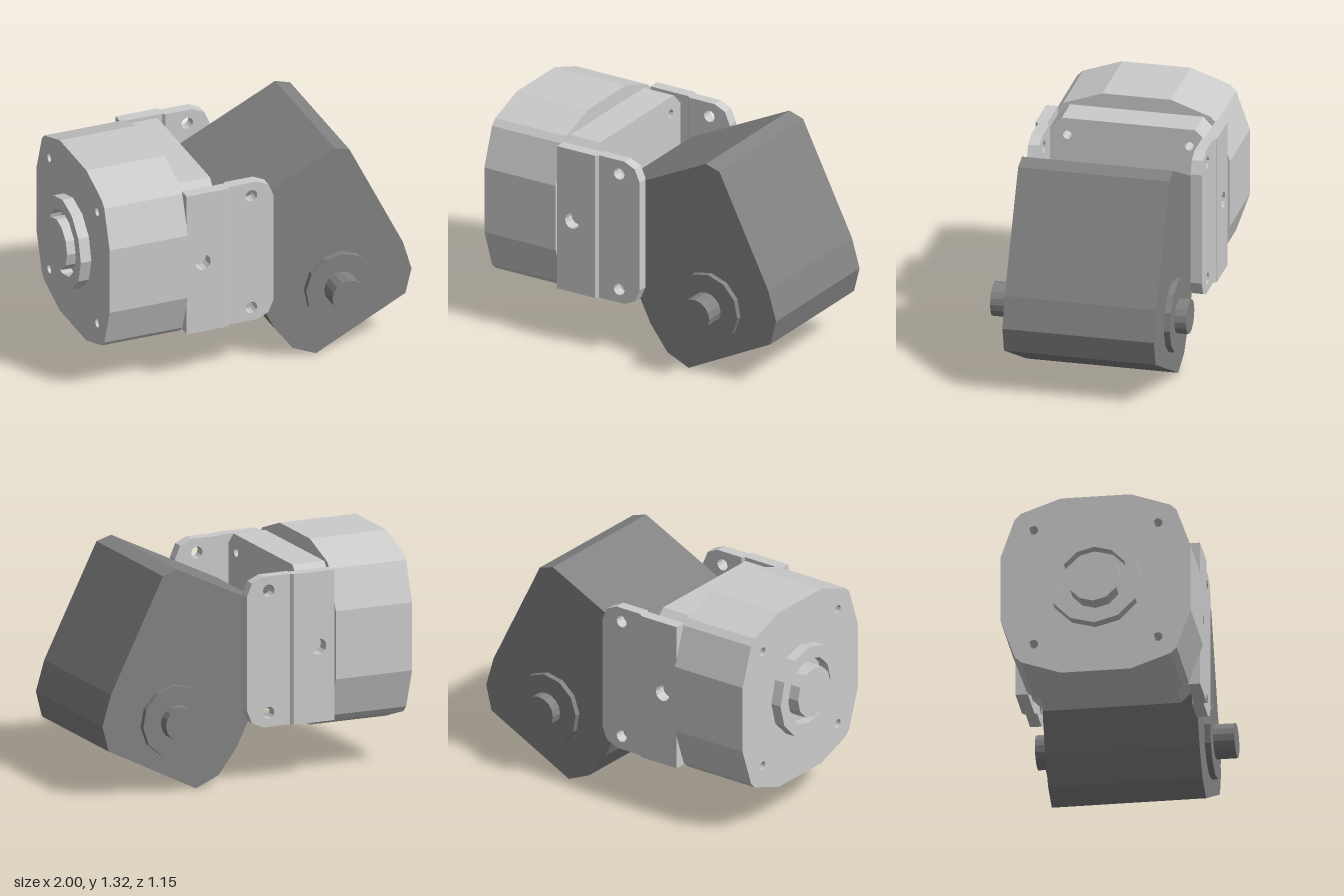
import * as THREE from 'three';

const CY = 0.775; // motor axis height
const CZ = -0.027; // middle plane of the whole joint

const light = new THREE.MeshStandardMaterial({ color: 0xcccccc, flatShading: true });
const dark = new THREE.MeshStandardMaterial({ color: 0x828282, flatShading: true });

const toShape = (pts) => new THREE.Shape(pts.map(([x, y]) => new THREE.Vector2(x, y)));

// regular polygon outline
function ngon(cx, cy, r, n = 12, turn = 0) {
  return Array.from({ length: n }, (_, i) => {
    const a = turn + (i / n) * Math.PI * 2;
    return [cx + r * Math.cos(a), cy + r * Math.sin(a)];
  });
}

// outline with polygonal holes, extruded from z0 to z1
function slab(pts, holes, z0, z1) {
  const s = toShape(pts);
  s.holes = holes.map((h) => toShape(h));
  return new THREE.ExtrudeGeometry(s, { depth: z1 - z0, bevelEnabled: false }).translate(0, 0, z0);
}

// the same, extruded along x about the motor axis
const slabX = (pts, holes, x0, x1) => slab(pts, holes, x0, x1).rotateY(Math.PI / 2).translate(0, CY, 0);

function add(group, name, geo, mat) {
  const m = new THREE.Mesh(geo, mat);
  m.name = name;
  group.add(m);
  return m;
}

// repeats a corner profile round four quarters
function fourCorners(corner) {
  const out = [];
  for (let q = 0; q < 4; q++) {
    const c = Math.round(Math.cos(q * Math.PI / 2)), s = Math.round(Math.sin(q * Math.PI / 2));
    for (const [x, y] of corner) out.push([x * c - y * s, x * s + y * c]);
  }
  return out;
}

function createMotor() {
  const g = new THREE.Group();
  g.name = 'motor';
  const screws = fourCorners([[0.357, 0.357]]).map(([x, y]) => ngon(x, y, 0.027));
  const body = fourCorners([[0.546, 0.2], [0.465, 0.43], [0.43, 0.465], [0.2, 0.546]]);
  add(g, 'motorBody', slabX(body, screws, -0.9, -0.42), light);
  const flange = fourCorners([[0.46, 0.39], [0.39, 0.46]]);
  add(g, 'mountingBlock', slabX(flange, screws, -0.42, -0.22), light);
  // rear collar with a recess round the hub
  add(g, 'rearCollar', slabX(ngon(0, 0, 0.273), [ngon(0, 0, 0.2)], -0.965, -0.9), light);
  add(g, 'rearHub', slabX(ngon(0, 0, 0.153), [], -1, -0.9), light);
  return g;
}

// side plate with a small inward step
function createBracket(side) {
  const g = new THREE.Group();
  g.name = side > 0 ? 'frontBracket' : 'rearBracket';
  const y0 = 0.333, y1 = 1.217;
  add(g, 'bracketBase', slab([[-0.42, y0], [-0.165, y0], [-0.165, y1], [-0.42, y1]],
    [ngon(-0.32, CY, 0.048)], 0.46, 0.53), light);

  const step = new THREE.BoxGeometry(0.015, y1 - y0, 0.068).translate(-0.1575, CY, 0.4945);
  const p = step.attributes.position;
  for (let i = 0; i < p.count; i++) {
    if (p.getX(i) > -0.157) p.setZ(i, p.getZ(i) - 0.017);
  }
  add(g, 'bracketStep', step, light);

  const tab = [[-0.15, y0], [0.02, y0], [0.09, 0.365], [0.122, 0.44],
    [0.122, 1.11], [0.09, 1.185], [0.02, y1], [-0.15, y1]];
  add(g, 'bracketTab', slab(tab, [0.415, 1.133].map((y) => ngon(-0.015, y, 0.036)), 0.445, 0.511), light);
  if (side < 0) {
    // mirror about the middle plane, flipping the winding to match
    g.children.forEach((m) => {
      const geo = m.geometry.index ? m.geometry.toNonIndexed() : m.geometry;
      geo.scale(1, 1, -1);
      const a = geo.attributes.position;
      for (let i = 0; i < a.count; i += 3) {
        const b = new THREE.Vector3().fromBufferAttribute(a, i + 1);
        a.setXYZ(i + 1, a.getX(i + 2), a.getY(i + 2), a.getZ(i + 2));
        a.setXYZ(i + 2, b.x, b.y, b.z);
      }
      geo.computeVertexNormals();
      m.geometry = geo;
    });
  }
  return g;
}

function createSwingBlock() {
  const g = new THREE.Group();
  g.name = 'swingBlock';
  const outline = [[0.41, 0.003], [0.96, 0.28], [0.998, 0.43], [0.945, 0.61], [0.617, 1.27],
    [0.525, 1.298], [-0.136, 0.976], [-0.172, 0.882], [0.155, 0.215], [0.267, 0.066]];
  add(g, 'blockBody', slab(outline, [], -0.443, 0.443), dark);
  // pivot passing right through the block
  add(g, 'pivotBoss', slab(ngon(0.547, 0.417, 0.212, 12, -0.07), [], -0.478, 0.478), dark);
  add(g, 'pivotPin', slab(ngon(0.547, 0.417, 0.1, 16), [], -0.573, 0.573), dark);
  return g;
}

export function createModel() {
  const model = new THREE.Group();
  model.name = 'motorJoint';
  const parts = [createMotor(), createBracket(1), createBracket(-1), createSwingBlock()];
  for (const part of parts) {
    part.position.z = CZ;
    model.add(part);
  }
  // pivot pin is centred on z = 0
  model.getObjectByName('pivotPin').position.z = -CZ;
  return model;
}
